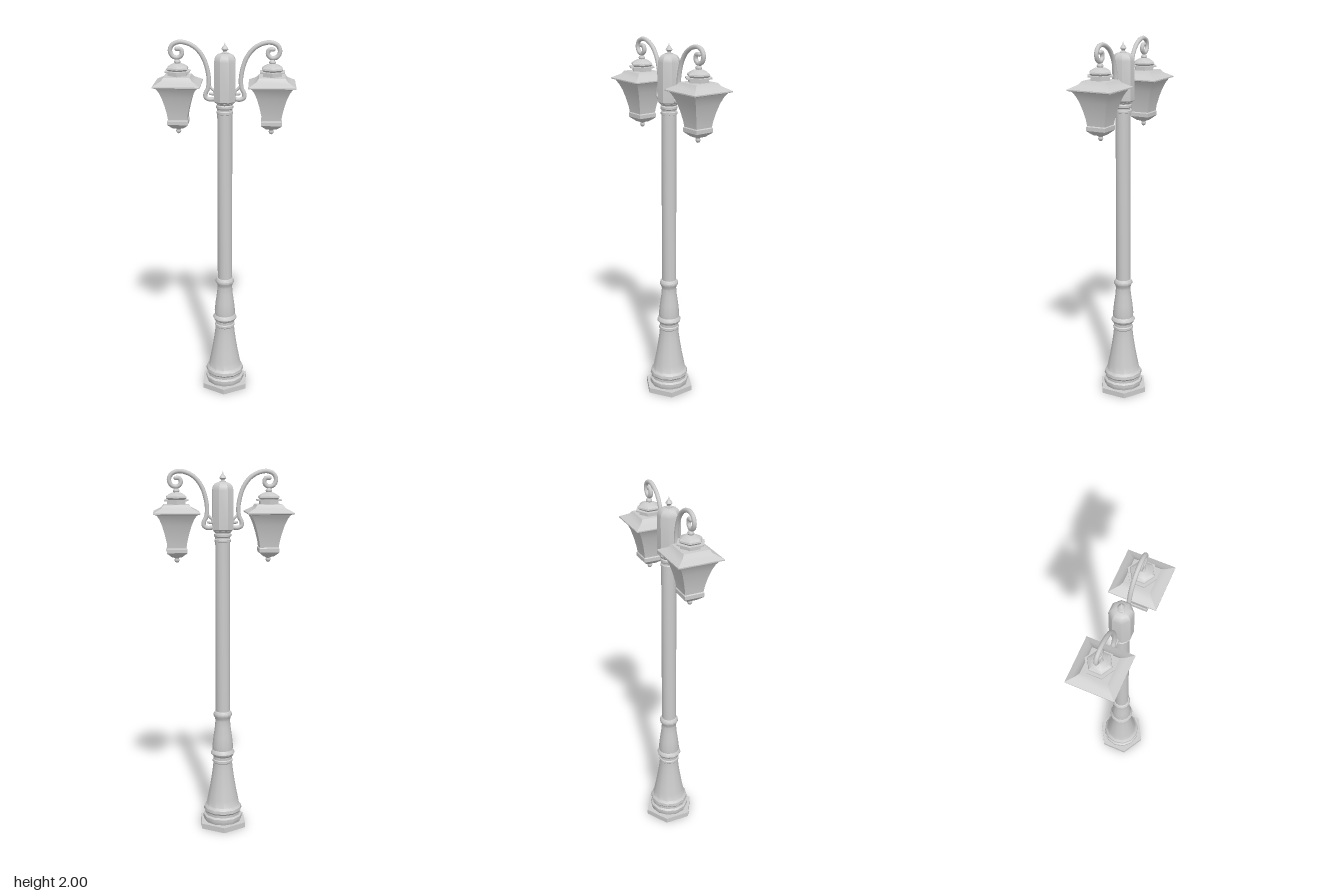
import * as THREE from 'three';
import { toCreasedNormals } from 'three/addons/utils/BufferGeometryUtils.js';

const material = new THREE.MeshStandardMaterial({ color: 0xcccccc, side: THREE.DoubleSide });

// Turned part: profile of [radius, y] from bottom to top, with a chosen number of sides.
// With "flats" the radius is measured to the middle of a side, and a side faces the front.
function turned(name, profile, sides, { flats = false, crease = 0.6 } = {}) {
  const k = flats ? 1 / Math.cos(Math.PI / sides) : 1;
  const geo = new THREE.LatheGeometry(profile.map(([r, y]) => new THREE.Vector2(r * k, y)), sides);
  if (flats) geo.rotateY(Math.PI / sides);
  const mesh = new THREE.Mesh(toCreasedNormals(geo, crease), material);
  mesh.name = name;
  return mesh;
}

function tube(name, points, radius, segments) {
  const curve = new THREE.CatmullRomCurve3(points.map(([x, y]) => new THREE.Vector3(x, y, 0)));
  const group = new THREE.Group();
  group.name = name;
  group.add(new THREE.Mesh(new THREE.TubeGeometry(curve, segments, radius, 8), material));
  // Rounded ends
  for (const t of [0, 1]) {
    const cap = new THREE.Mesh(new THREE.SphereGeometry(radius, 8, 6), material);
    cap.position.copy(curve.getPoint(t));
    group.add(cap);
  }
  return group;
}

// Square lantern with a flared body, a roof, a hexagonal cap and a drop below
function lantern() {
  const group = new THREE.Group();
  group.name = 'lantern';
  group.add(
    turned('lanternBody', [
      [0, 1.535], [0.026, 1.54], [0.05, 1.56], [0.054, 1.565], [0.054, 1.585], [0.05, 1.59],
      [0.054, 1.62], [0.064, 1.665], [0.077, 1.71], [0.09, 1.742], [0.104, 1.764],
    ], 4, { flats: true }),
    turned('lanternRoof', [
      [0.09, 1.76], [0.122, 1.77], [0.122, 1.776], [0.1, 1.788], [0.08, 1.799], [0.068, 1.815], [0, 1.82],
    ], 4, { flats: true }),
    turned('ventNeck', [[0.056, 1.8], [0.056, 1.84]], 6),
    turned('ventPlate', [[0, 1.834], [0.074, 1.834], [0.074, 1.841], [0, 1.841]], 6),
    turned('ventCap', [
      [0.05, 1.84], [0.062, 1.85], [0.06, 1.858], [0.045, 1.868], [0.028, 1.876], [0.012, 1.88], [0, 1.881],
    ], 6),
    turned('hanger', [[0, 1.87], [0.012, 1.875], [0.018, 1.886], [0.012, 1.897], [0, 1.902]], 8, { crease: 1 }),
    turned('drop', [
      [0, 1.508], [0.009, 1.512], [0.014, 1.522], [0.011, 1.532], [0.018, 1.538], [0.018, 1.545],
    ], 8, { crease: 1 }),
  );
  group.position.x = 0.245;
  return group;
}

// Scrolled bracket and its lantern, built on the +x side
function lampArm() {
  const group = new THREE.Group();
  group.name = 'lampArm';
  group.add(
    tube('scrollBracket', [
      [0.05, 1.695], [0.08, 1.692], [0.1, 1.703], [0.1, 1.725], [0.088, 1.75], [0.083, 1.79],
      [0.09, 1.845], [0.11, 1.905], [0.145, 1.953], [0.19, 1.98], [0.235, 1.987], [0.27, 1.972],
      [0.282, 1.942], [0.268, 1.914], [0.24, 1.908], [0.221, 1.926], [0.227, 1.95], [0.247, 1.952],
    ], 0.0115, 96),
    tube('innerCurl', [
      [0.085, 1.77], [0.07, 1.75], [0.055, 1.735], [0.06, 1.72], [0.076, 1.722],
    ], 0.007, 20),
    lantern(),
  );
  return group;
}

export function createModel() {
  const model = new THREE.Group();
  model.name = 'streetLamp';

  // Hexagonal foot
  model.add(turned('foot', [[0, 0], [0.142, 0], [0.142, 0.03], [0, 0.03]], 6));

  // Turned pedestal
  model.add(turned('pedestal', [
    [0.105, 0.03], [0.11, 0.045], [0.11, 0.062], [0.1, 0.07], [0.1, 0.085], [0.108, 0.095],
    [0.106, 0.112], [0.094, 0.125], [0.086, 0.165], [0.075, 0.22], [0.065, 0.28], [0.057, 0.335],
    [0.053, 0.375], [0.057, 0.38], [0.057, 0.392], [0.052, 0.396], [0.052, 0.412], [0.064, 0.422],
    [0.068, 0.432], [0.064, 0.443], [0.057, 0.452], [0.058, 0.475], [0.052, 0.53], [0.044, 0.585],
    [0.041, 0.625], [0.045, 0.64], [0.052, 0.652], [0.052, 0.663], [0.045, 0.675], [0.038, 0.678],
  ], 12));

  // Shaft with the collar rings at its top
  model.add(turned('shaft', [[0.04, 0.66], [0.04, 1.64]], 12));
  model.add(turned('collar', [
    [0.038, 1.615], [0.044, 1.618], [0.044, 1.63], [0.04, 1.634], [0.04, 1.642], [0.046, 1.648],
    [0.046, 1.66], [0.041, 1.665], [0.048, 1.674], [0.048, 1.69],
  ], 12));

  // Octagonal head with a domed top
  model.add(turned('head', [
    [0, 1.672], [0.042, 1.672], [0.055, 1.684], [0.055, 1.89], [0.051, 1.908], [0.041, 1.922],
    [0.025, 1.93], [0, 1.933],
  ], 8, { flats: true }));
  model.add(turned('finial', [
    [0.018, 1.928], [0.018, 1.934], [0.009, 1.938], [0.009, 1.943], [0.018, 1.952], [0.013, 1.962],
    [0.005, 1.972], [0, 1.987],
  ], 8, { crease: 1 }));

  // Two lamp arms, the second turned to the other side
  const leftArm = lampArm();
  const rightArm = lampArm();
  rightArm.name = 'rightLampArm';
  leftArm.name = 'leftLampArm';
  rightArm.rotation.y = Math.PI;
  model.add(leftArm, rightArm);

  return model;
}
